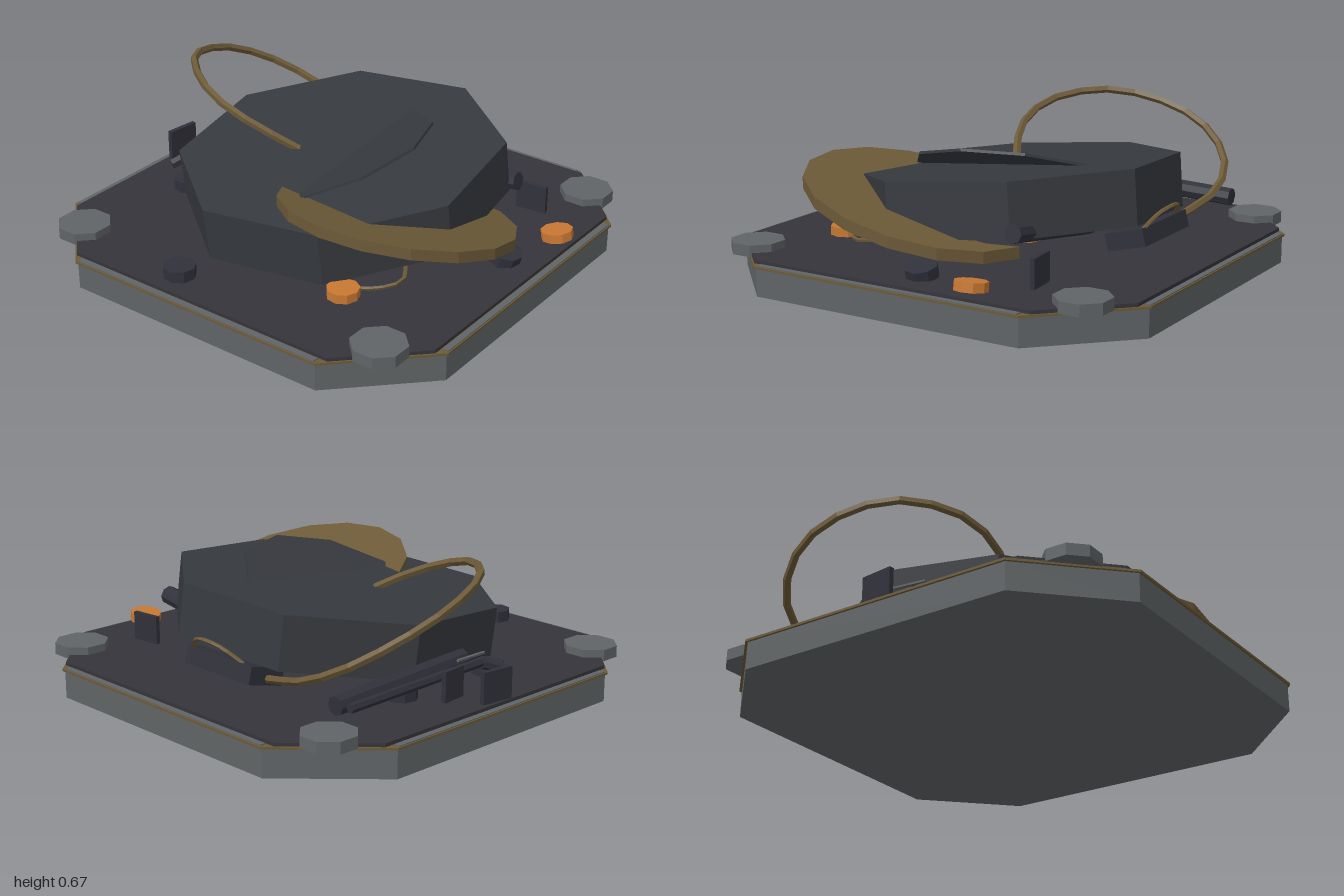
import * as THREE from 'three';

const mat = (name, color) => {
  const m = new THREE.MeshStandardMaterial({ color });
  m.name = name;
  return m;
};

export function createModel() {
  const root = new THREE.Group();
  root.name = 'wreckOnPlinth';
  const grey = mat('steelGrey', 0x606466);
  const slabDark = mat('slabCharcoal', 0x35343b);
  const hull = mat('hullCharcoal', 0x36393e);
  const scrap = mat('scrapDark', 0x30313a);
  const bronze = mat('bronze', 0x6d5a38);
  const orange = mat('orange', 0xc87832);
  for (const m of [grey, slabDark, hull, scrap, bronze, orange]) m.flatShading = true;

  const UP = new THREE.Vector3(0, 1, 0);
  const V = (p) => new THREE.Vector3(...p);

  function add(name, geo, material, pos = [0, 0, 0], rot = [0, 0, 0]) {
    const mesh = new THREE.Mesh(geo, material);
    mesh.name = name;
    mesh.position.set(...pos);
    mesh.rotation.set(...rot);
    root.add(mesh);
    return mesh;
  }

  // Extrude a plan outline of [x, z] points upwards
  function extrudePlan(points, y0, y1) {
    const shape = new THREE.Shape(points.map(([x, z]) => new THREE.Vector2(x, -z)));
    const geo = new THREE.ExtrudeGeometry(shape, { depth: y1 - y0, bevelEnabled: false });
    return geo.rotateX(-Math.PI / 2).translate(0, y0, 0);
  }

  // Square with cut corners; h is half the width, c where the cut begins
  const cutSquare = (h, c) => [[c, h], [h, c], [h, -c], [c, -h], [-c, -h], [-h, -c], [-h, c], [-c, h]];

  // Disc whose top face lies on the plane with slopes a (along x) and b (along z)
  function tiltedDisc(name, r, h, sides, top, a, b, spin, material) {
    const geo = new THREE.CylinderGeometry(r, r, h, sides, 1, false, spin).translate(0, -h / 2, 0);
    const mesh = add(name, geo, material, top);
    mesh.quaternion.setFromUnitVectors(UP, new THREE.Vector3(-a, 1, -b).normalize());
    return mesh;
  }

  // Cylinder between two points
  function rod(name, from, to, r, sides, material) {
    const a = V(from), d = V(to).sub(a);
    const mesh = add(name, new THREE.CylinderGeometry(r, r, d.length(), sides), material);
    mesh.position.copy(a).addScaledVector(d, 0.5);
    mesh.quaternion.setFromUnitVectors(UP, d.normalize());
  }

  function cable(name, pts, r, segments) {
    const curve = new THREE.CatmullRomCurve3(pts.map(V));
    const mesh = add(name, new THREE.TubeGeometry(curve, segments, r, 5), bronze);
    [0, 1].forEach((t) => {
      const cap = new THREE.Mesh(new THREE.SphereGeometry(r, 5, 4), bronze);
      cap.name = name + 'End';
      cap.position.copy(curve.getPoint(t));
      mesh.add(cap);
    });
  }

  // Plinth, trim and top slab
  add('plinth', extrudePlan(cutSquare(0.99, 0.63), 0, 0.12), grey);
  add('plinthTrim', extrudePlan(cutSquare(1, 0.635), 0.12, 0.13), bronze);
  add('topSlab', extrudePlan(cutSquare(0.96, 0.665), 0.13, 0.145), slabDark);
  for (let i = 0; i < 4; i++) {
    const strip = new THREE.BoxGeometry(1.25, 0.006, 0.028).translate(0, 0.131, 0.98);
    add('edgeStrip', strip.rotateY((i * Math.PI) / 2), grey);
  }

  // Corner bolts
  for (const x of [-0.79, 0.79]) {
    for (const z of [-0.785, 0.785]) {
      add('cornerBolt', new THREE.CylinderGeometry(0.118, 0.118, 0.05, 8, 1, false, Math.PI / 8), grey, [x, 0.153, z]);
    }
  }

  // Tilted hull and the hatch lifting out of it
  tiltedDisc('hull', 0.717, 0.235, 8, [0, 0.462, 0], 0.1, 0.053, 0.514, hull);
  tiltedDisc('hatch', 0.445, 0.012, 10, [-0.01, 0.425, -0.02], 0.1, 0.383, 0.0, hull);

  // Bronze crescent, sloping down towards the left
  const crescent = [];
  const arc = (cx, cz, r, a0, a1, n, skip) => {
    for (let i = skip; i <= n - skip; i++) {
      const a = a0 + ((a1 - a0) * i) / n;
      crescent.push([cx + r * Math.cos(a), cz + r * Math.sin(a)]);
    }
  };
  arc(-0.18, 0.435, 0.5, 4.38, 0.08, 11, 0);
  arc(0, 0.23, 0.42, 0.663, 3.79, 9, 1);
  const crescentGeo = extrudePlan(crescent, -0.05, 0);
  const p = crescentGeo.attributes.position;
  for (let i = 0; i < p.count; i++) p.setY(i, p.getY(i) + 0.317 - 0.277 * p.getX(i));
  crescentGeo.computeVertexNormals();
  add('crescent', crescentGeo, bronze);

  // Cables
  cable('loopCable', [
    [-0.09, 0.44, -0.16], [-0.17, 0.53, -0.32], [-0.19, 0.58, -0.45], [-0.18, 0.62, -0.57],
    [-0.1, 0.65, -0.72], [0, 0.655, -0.83], [0.15, 0.63, -0.91], [0.35, 0.57, -0.935],
    [0.52, 0.49, -0.88], [0.65, 0.39, -0.75], [0.695, 0.3, -0.56], [0.63, 0.22, -0.27],
  ], 0.018, 16);
  cable('sideCable', [[0.69, 0.28, -0.18], [0.74, 0.34, -0.1], [0.755, 0.355, -0.01], [0.73, 0.33, 0.07], [0.69, 0.27, 0.12]], 0.009, 10);
  cable('lowCable', [[-0.54, 0.165, 0.3], [-0.5, 0.17, 0.5], [-0.38, 0.185, 0.6], [-0.22, 0.21, 0.5]], 0.009, 10);

  // Loose discs on the slab
  for (const [x, z, tilt] of [[-0.84, -0.19, 0], [-0.23, -0.68, 0], [0.26, -0.65, 0], [0.07, 0.81, 0.25]]) {
    add('looseDisc', new THREE.CylinderGeometry(0.07, 0.07, 0.05, 8), scrap, [x, 0.172, z], [tilt, 0.2, 0]);
  }
  for (const [x, z, tilt] of [[0.355, 0.89, -0.15], [-0.575, 0.45, 0], [0.13, 0.1, 0.1]]) {
    add('orangeDisc', new THREE.CylinderGeometry(0.07, 0.07, 0.04, 9), orange, [x, 0.176, z], [tilt, 0, 0]);
  }

  // Bars and broken tubes
  rod('frontTube', [0.4, 0.335, 0.66], [0.4, 0.24, 0.05], 0.041, 8, scrap);
  rod('backTube', [-0.02, 0.27, -0.725], [0.7, 0.24, -0.725], 0.04, 8, scrap);
  rod('backRod', [-0.08, 0.25, -0.775], [0.68, 0.24, -0.785], 0.02, 6, scrap);
  rod('thinRod', [-0.1, 0.285, -0.77], [0.07, 0.29, -0.78], 0.007, 5, grey);
  rod('tubeStub', [-0.19, 0.2, -0.82], [-0.1, 0.24, -0.77], 0.025, 6, scrap);
  add('sideBar', new THREE.BoxGeometry(0.18, 0.075, 0.4), scrap, [0.625, 0.225, -0.05], [0, 0, 0.25]);

  // Upright shards
  add('frontShard', new THREE.BoxGeometry(0.02, 0.125, 0.14), scrap, [0.525, 0.207, 0.66], [0, 0.1, 0]);
  add('backShard', new THREE.BoxGeometry(0.15, 0.14, 0.022), scrap, [0.01, 0.21, -0.935], [0, -0.12, 0]);
  add('innerShard', new THREE.BoxGeometry(0.12, 0.13, 0.022), scrap, [0.12, 0.21, -0.8], [0, 0.1, 0]);

  return root;
}
